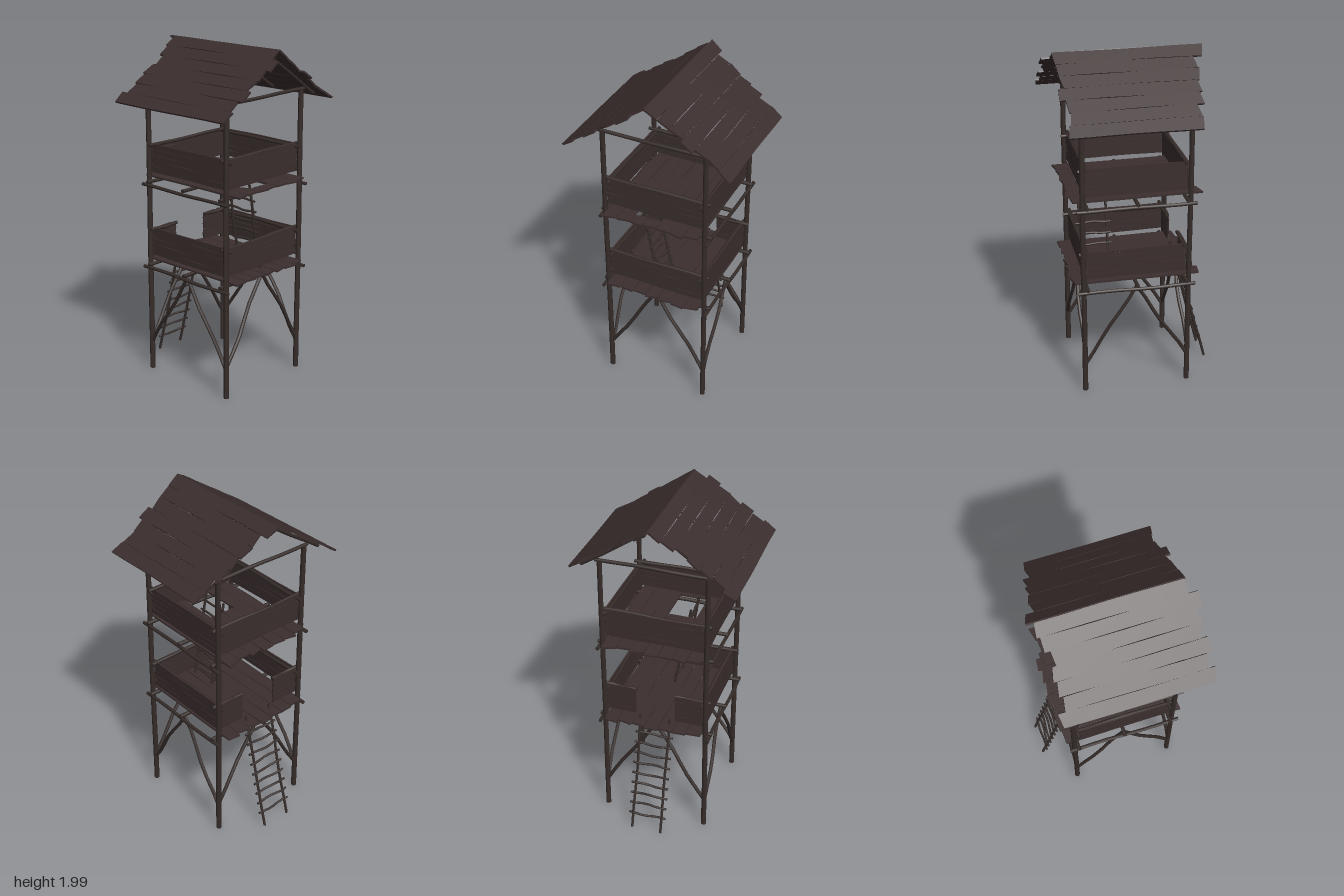
import * as THREE from 'three';

const CX = 0.01;   // tower axis in x
const H = 0.31;    // half spacing of the corner posts
const V = (x, y, z) => new THREE.Vector3(x, y, z);

export function createModel() {
  const model = new THREE.Group();
  model.name = 'watchtower';
  const logMat = new THREE.MeshStandardMaterial({ color: 0x352c29 });
  const boardMat = new THREE.MeshStandardMaterial({ color: 0x3b2e2e, flatShading: true });

  let seed = 7;
  const rnd = () => (seed = (seed * 16807) % 2147483647) / 2147483647;
  const jit = (a) => (rnd() * 2 - 1) * a;

  const group = (name, parent = model) => {
    const g = new THREE.Group();
    g.name = name;
    parent.add(g);
    return g;
  };

  // Slightly crooked round pole between two points
  function pole(name, a, b, r, bend, parent) {
    const dir = b.clone().sub(a);
    const len = dir.length();
    const geo = new THREE.CylinderGeometry(r * 0.94, r, len, 8, 6);
    const p = geo.attributes.position;
    const ph1 = rnd() * 6, ph2 = rnd() * 6;
    for (let i = 0; i < p.count; i++) {
      const t = p.getY(i) / len + 0.5;
      const k = bend * Math.sin(Math.PI * t);
      p.setX(i, p.getX(i) + k * Math.sin(t * 6 + ph1));
      p.setZ(i, p.getZ(i) + k * Math.sin(t * 5 + ph2));
    }
    geo.computeVertexNormals();
    const m = new THREE.Mesh(geo, logMat);
    m.name = name;
    m.position.copy(a).add(b).multiplyScalar(0.5);
    m.quaternion.setFromUnitVectors(V(0, 1, 0), dir.normalize());
    parent.add(m);
  }

  // Rough board lying along x, with wavy edges and skewed ends
  function board(name, x0, x1, thick, width, rough, parent) {
    const len = x1 - x0;
    const geo = new THREE.BoxGeometry(len, thick, width, 6, 1, 1);
    const p = geo.attributes.position;
    const ph = rnd() * 6, skewA = jit(0.25), skewB = jit(0.25);
    for (let i = 0; i < p.count; i++) {
      const t = p.getX(i) / len + 0.5, z = p.getZ(i);
      p.setZ(i, z + rough * Math.sin(t * 7 + ph + (z > 0 ? 1.5 : 0)));
      p.setX(i, p.getX(i) + z * (skewA * (1 - t) + skewB * t));
    }
    geo.computeVertexNormals();
    const m = new THREE.Mesh(geo, boardMat);
    m.name = name;
    m.position.x = (x0 + x1) / 2;
    parent.add(m);
    return m;
  }

  // Ladder: two rails, with rungs overhanging them along the unit vector side
  function ladder(name, foot, top, side, halfGap, rungStart, count) {
    const g = group(name);
    for (const s of [-1, 1]) {
      const o = side.clone().multiplyScalar(s * halfGap);
      pole('ladderRail', foot.clone().add(o), top.clone().add(o), 0.008, 0.004, g);
    }
    for (let i = 0; i < count; i++) {
      const y = rungStart + i * 0.0645;
      const c = foot.clone().lerp(top, (y - foot.y) / (top.y - foot.y));
      const o = side.clone().multiplyScalar(halfGap + 0.025);
      pole('rung', c.clone().sub(o), c.clone().add(o), 0.007, 0.005, g);
    }
  }

  // Corner posts
  const posts = group('cornerPosts');
  for (const sx of [-1, 1]) for (const sz of [-1, 1])
    pole('post', V(CX + sx * H, 0, sz * H), V(CX + sx * H, 1.72, sz * H), 0.016, 0.002, posts);

  // Diagonal braces, a pair on each side rising to the middle of the floor beam
  const braces = group('braces');
  for (const s of [-1, 1]) for (const e of [-1, 1]) {
    pole('brace', V(CX + e * H, 0.17, s * H), V(CX, 0.665, s * H), 0.011, 0.009, braces);
    pole('brace', V(CX + s * H, 0.19, e * H), V(CX + s * (H - 0.01), 0.685, 0), 0.011, 0.009, braces);
  }

  // Plank wall along local x; spans lists the [start, end] pieces
  function wall(spans, angle, y, railLift) {
    const g = group('parapet');
    g.position.set(CX, y, 0);
    g.rotation.y = angle;
    for (const [a, b] of spans) {
      for (let i = 0; i < 5; i++) {
        const m = board('wallBoard', a, b, 0.009, 0.033, 0.0018, g);
        m.rotation.x = Math.PI / 2;
        m.position.set((a + b) / 2, 0.047 + i * 0.034, 0.294);
      }
      const end = (x) => (Math.abs(x) > 0.29 ? Math.sign(x) * 0.33 : x);
      pole('handRail', V(end(a), 0.19 + railLift, 0.284), V(end(b), 0.19 + railLift, 0.284), 0.011, 0.005, g);
    }
  }

  // Platforms: crossed beams, floor boards and parapets
  function platform(y, hatch, door) {
    const g = group('platform');
    for (const s of [-1, 1])
      pole('floorBeam', V(-0.335, y - 0.045, s * 0.33), V(0.355, y - 0.045, s * 0.33), 0.011, 0.005, g);
    for (const x of [-0.29, 0, 0.29])
      pole('joist', V(CX + x, y - 0.022, -0.345), V(CX + x, y - 0.022, 0.345), 0.012, 0.004, g);
    for (let i = 0; i < 7; i++) {
      const z = (i - 3) * 0.083;
      const ends = [-0.36 + jit(0.015), 0.38 + jit(0.015)];
      const pieces = hatch && (i === 3 || i === 4)
        ? [[ends[0], 0.08], [0.31, ends[1]]] : [ends];
      for (const [a, b] of pieces)
        board('floorBoard', a, b, 0.01, 0.08, 0.002, g).position.set((a + b) / 2, y, z);
    }
    const full = [[-0.3, 0.3]];
    wall(full, 0, y, -0.008);
    wall(full, Math.PI, y, -0.008);
    wall(full, Math.PI / 2, y, 0.004);
    wall(door ? [[-0.3, -0.12], [0.12, 0.3]] : full, -Math.PI / 2, y, 0.004);
  }
  platform(0.7, false, true);
  platform(1.21, true, false);

  // Ladders: outside to the doorway, inside through the hatch
  ladder('entryLadder', V(-0.472, 0.005, 0), V(-0.285, 0.73, 0), V(0, 0, 1), 0.09, 0.1, 10);
  ladder('innerLadder', V(0.2, 0.7, -0.015), V(0.2, 1.24, 0.083), V(1, 0, 0), 0.08, 0.74, 8);

  // Roof frame: tie beams and rafters
  const frame = group('roofFrame');
  const pitch = Math.atan2(0.325, 0.485);
  for (const x of [-H, H])
    pole('tieBeam', V(CX + x, 1.725, -0.335), V(CX + x, 1.725, 0.335), 0.011, 0.005, frame);
  for (const x of [-H, 0, H]) for (const s of [-1, 1])
    pole('rafter', V(CX + x, 1.965, 0), V(CX + x, 1.685, s * 0.42), 0.011, 0.003, frame);

  // Roof boards, [left end, right end] from ridge to eave
  const slopes = {
    1: [[-0.39, 0.42], [-0.375, 0.475], [-0.34, 0.45], [-0.365, 0.44], [-0.36, 0.465], [-0.35, 0.44], [-0.39, 0.46]],
    '-1': [[-0.42, 0.42], [-0.365, 0.41], [-0.37, 0.4], [-0.355, 0.425], [-0.35, 0.39], [-0.32, 0.385], [-0.325, 0.405]],
  };
  for (const s of [1, -1]) {
    const g = group(s > 0 ? 'frontRoofSlope' : 'backRoofSlope');
    slopes[s].forEach(([a, b], i) => {
      const z = 0.034 + i * 0.0692;
      const m = board('roofBoard', a, b, 0.011, 0.082, 0.002, g);
      m.rotation.x = s * pitch;
      m.position.set((a + b) / 2, 1.988 - z * Math.tan(pitch), s * z);
    });
  }
  return model;
}
